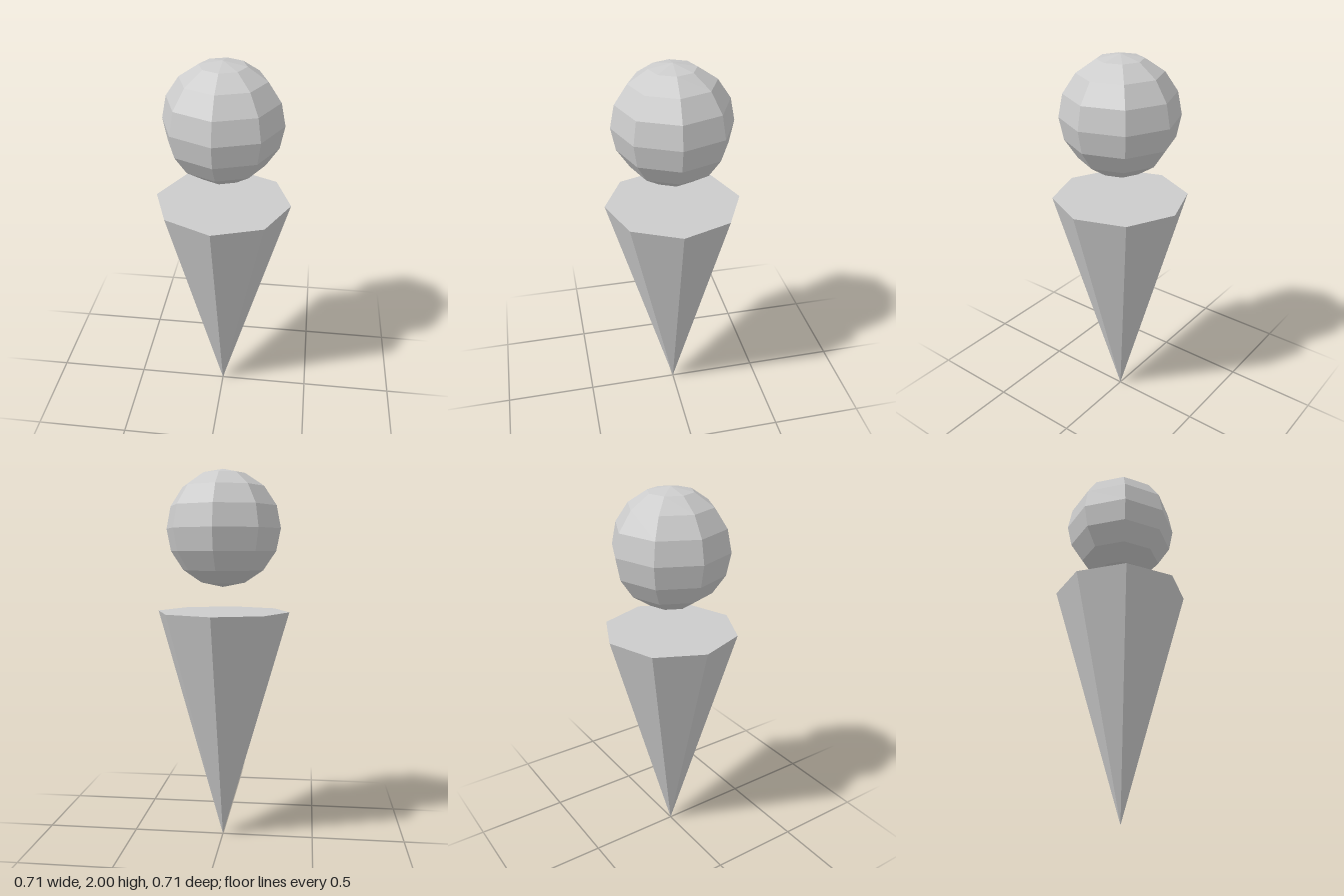
import * as THREE from 'three';

const SIDES = 8;
const TWIST = -0.056; // slight turn shared by both parts

export function createModel() {
  const group = new THREE.Group();
  const material = new THREE.MeshStandardMaterial({ color: 0xcccccc, flatShading: true });

  const add = (name, geometry, y) => {
    const mesh = new THREE.Mesh(geometry, material);
    mesh.name = name;
    mesh.position.y = y;
    mesh.rotation.y = TWIST;
    group.add(mesh);
  };

  // Closed cone standing on its tip
  const coneHeight = 1.255;
  add('cone', new THREE.CylinderGeometry(0.357, 0, coneHeight, SIDES), coneHeight / 2);

  // Faceted ball floating above the cone
  const ballRadius = 0.307;
  add('ball', new THREE.SphereGeometry(ballRadius, SIDES, 8), 2 - ballRadius);

  return group;
}
